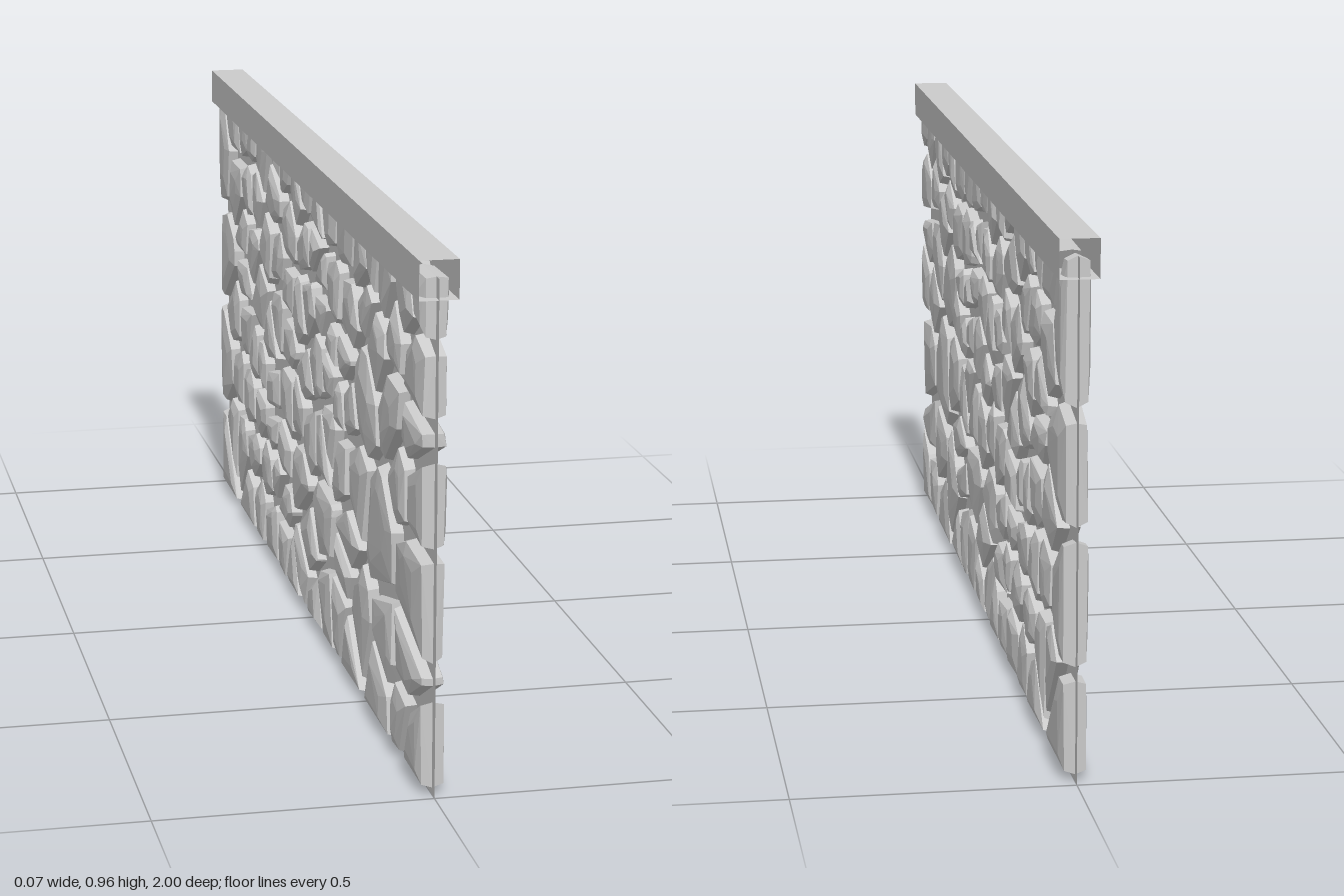
import * as THREE from 'three';
import { ConvexGeometry } from 'three/addons/geometries/ConvexGeometry.js';

// Large stones: z, y and the radius they keep clear of other centres
const LARGE = [
  [0.65, 0.37, 0.17], [0.5, 0.6, 0.13], [-0.89, 0.56, 0.14], [-0.76, 0.31, 0.12], [-0.92, 0.31, 0.12],
  [-0.92, 0.08, 0.13], [0.64, 0.07, 0.12], [0.13, 0.26, 0.12], [-0.08, 0.28, 0.11], [0.88, 0.35, 0.13],
  [-0.18, 0.76, 0.11], [0.43, 0.42, 0.11],
];
const COURSES = 8;
const STONES_PER_COURSE = 16;
const GAP = 0.013; // half the mortar joint

// Centres of the large stones, then scattered courses of small ones between them
function stoneCentres(rand) {
  const centres = LARGE.map(([z, y]) => new THREE.Vector2(z, y));
  for (let row = 0; row < COURSES; row++) {
    for (let i = 0; i < STONES_PER_COURSE; i++) {
      const t = ((i + 0.5 + 0.5 * (row % 2) + 0.7 * (rand() - 0.5)) / STONES_PER_COURSE) * 2 - 1;
      // stones are smaller towards the middle of the wall
      const z = t * (0.85 + 0.13 * Math.abs(t));
      const y = 0.07 + row * 0.115 + 0.08 * (rand() - 0.5);
      const clear = LARGE.every(([lz, ly, r]) => Math.hypot(z - lz, y - ly) > r);
      if (clear && Math.abs(z) < 0.96) centres.push(new THREE.Vector2(z, y));
    }
  }
  return centres;
}

// Keeps the part of a polygon on the near side of a line
function clip(poly, normal, limit) {
  const out = [];
  poly.forEach((a, i) => {
    const b = poly[(i + 1) % poly.length];
    const da = a.dot(normal) - limit;
    const db = b.dot(normal) - limit;
    if (da <= 0) out.push(a);
    if (da * db < 0) out.push(a.clone().lerp(b, da / (da - db)));
  });
  return out;
}

// Outline of one stone: the area closest to its centre, less the joint
function stoneOutline(seed, seeds) {
  let poly = [[-0.98, 0.013], [0.98, 0.013], [0.98, 0.93], [-0.98, 0.93]].map(p => new THREE.Vector2(...p));
  for (const other of seeds) {
    if (other === seed) continue;
    const normal = other.clone().sub(seed).normalize();
    const middle = other.clone().add(seed).multiplyScalar(0.5);
    poly = clip(poly, normal, middle.dot(normal) - GAP);
  }
  return poly;
}

// Chipped convex stone reaching through the wall to both faces
function stoneGeometry(outline, rand) {
  const centre = new THREE.Vector2();
  outline.forEach(p => centre.add(p));
  centre.divideScalar(outline.length);
  const points = [];
  const add = (p, scale, x) => {
    const q = p.clone().sub(centre).multiplyScalar(scale).add(centre);
    points.push(new THREE.Vector3(x, q.y, q.x));
  };
  for (const p of outline) {
    add(p, 1, 0);
    for (const side of [-1, 1]) {
      add(p, 0.93, side * (0.017 + 0.005 * rand()));
      add(p, 0.4 + 0.25 * rand(), side * (0.025 + 0.003 * rand()));
    }
  }
  return new ConvexGeometry(points);
}

export function createModel() {
  const model = new THREE.Group();
  model.name = 'stoneWall';
  const material = new THREE.MeshStandardMaterial({ color: 0xcccccc, flatShading: true, side: THREE.DoubleSide });
  const addPart = (name, geometry, parent) => {
    const mesh = new THREE.Mesh(geometry, material);
    mesh.name = name;
    parent.add(mesh);
    return mesh;
  };

  // Thin mortar sheet in the middle of the wall
  const sheet = addPart('mortarSheet', new THREE.PlaneGeometry(2, 0.93), model);
  sheet.rotation.y = Math.PI / 2;
  sheet.position.y = 0.465;

  // Coping beam: a square tube, open at both ends
  const tube = new THREE.BoxGeometry(0.07, 0.07, 2);
  tube.setIndex(Array.from(tube.index.array.slice(0, 24)));
  tube.clearGroups();
  addPart('copingBeam', tube, model).position.y = 0.928;

  // Stones
  let state = 7;
  const rand = () => (state = (state * 16807) % 2147483647) / 2147483647;
  const stones = new THREE.Group();
  stones.name = 'stones';
  model.add(stones);
  const centres = stoneCentres(rand);
  for (const centre of centres) {
    const outline = stoneOutline(centre, centres);
    if (outline.length > 2) addPart('stone', stoneGeometry(outline, rand), stones);
  }
  return model;
}
